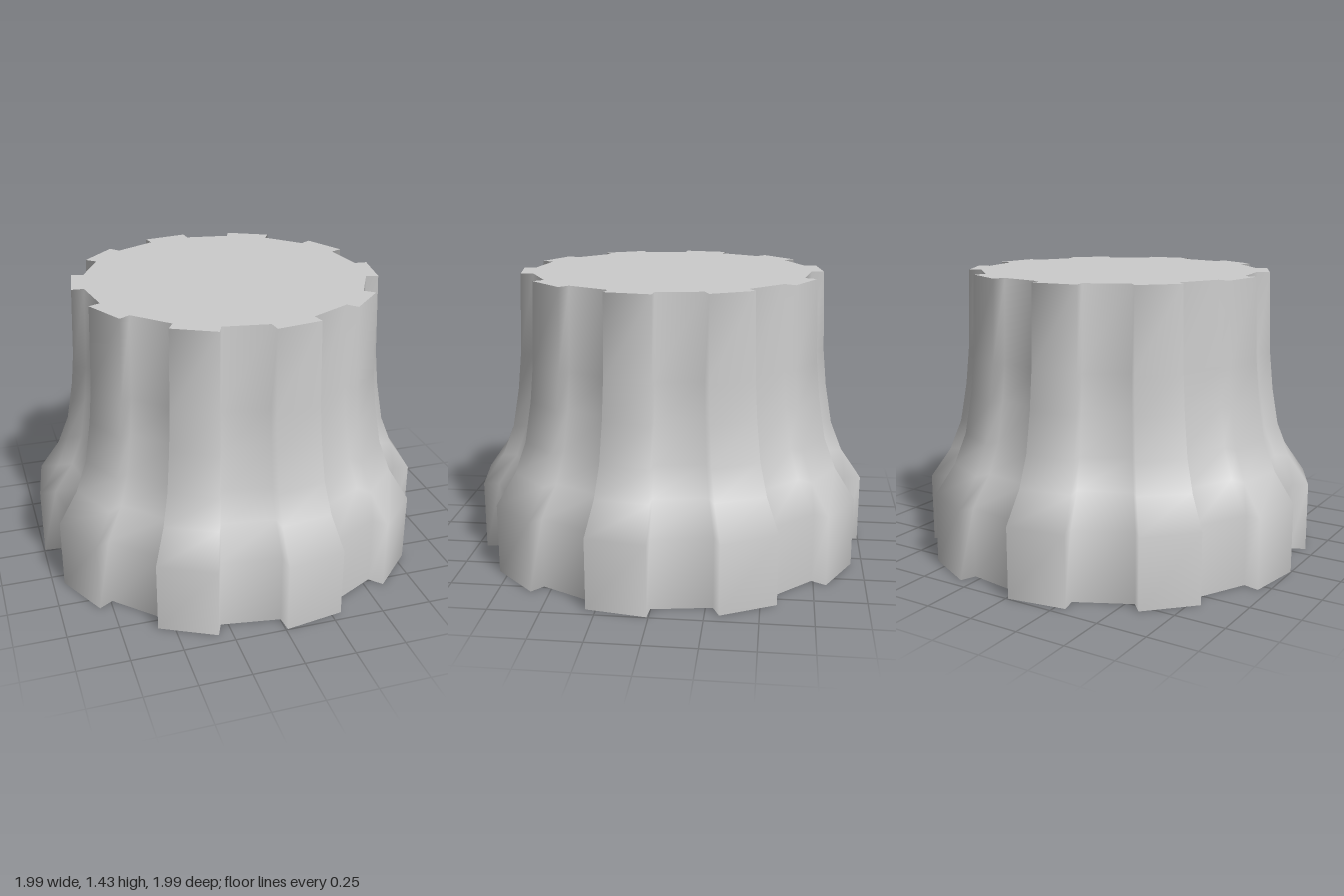
import * as THREE from 'three';

const TEETH = 10;
// Body profile: [scale of the outline, height]
const PROFILE = [[1, 0], [1, 0.35], [0.895, 0.5], [0.835, 0.65], [0.8, 0.85], [0.782, 1.03], [0.767, 1.435]];

// Toothed outline: raised and recessed flats alternate, counterclockwise from above
function outline() {
  const points = [];
  for (let i = 0; i < TEETH; i++) {
    for (const [deg, r] of [[0.6, 0.996], [17.5, 0.996], [17.9, 0.916], [36.1, 0.916]]) {
      const a = THREE.MathUtils.degToRad(i * 360 / TEETH + deg);
      points.push([r * Math.sin(a), r * Math.cos(a)]);
    }
  }
  return points;
}

function meshFrom(name, positions, index) {
  const geometry = new THREE.BufferGeometry();
  geometry.setAttribute('position', new THREE.Float32BufferAttribute(positions, 3));
  geometry.setIndex(index);
  geometry.computeVertexNormals();
  const mesh = new THREE.Mesh(geometry, new THREE.MeshStandardMaterial({ color: 0xcccccc }));
  mesh.name = name;
  return mesh;
}

// Smooth wall lofted through the scaled outlines
function wall(points) {
  const n = points.length, positions = [], index = [];
  PROFILE.forEach(([s, y], j) => {
    points.forEach(([x, z], i) => {
      positions.push(x * s, y, z * s);
      if (j === PROFILE.length - 1) return;
      const a = j * n + i, b = j * n + (i + 1) % n;
      index.push(a, b, b + n, a, b + n, a + n);
    });
  });
  return meshFrom('flutedBody', positions, index);
}

// Flat end face fanned from the centre
function cap(name, points, [s, y], up) {
  const n = points.length, positions = [0, y, 0], index = [];
  points.forEach(([x, z], i) => {
    positions.push(x * s, y, z * s);
    const a = i + 1, b = (i + 1) % n + 1;
    index.push(0, up ? a : b, up ? b : a);
  });
  return meshFrom(name, positions, index);
}

export function createModel() {
  const group = new THREE.Group();
  group.name = 'flutedKnob';
  const points = outline();
  group.add(
    wall(points),
    cap('topFace', points, PROFILE[PROFILE.length - 1], true),
    cap('bottomFace', points, PROFILE[0], false)
  );
  return group;
}
